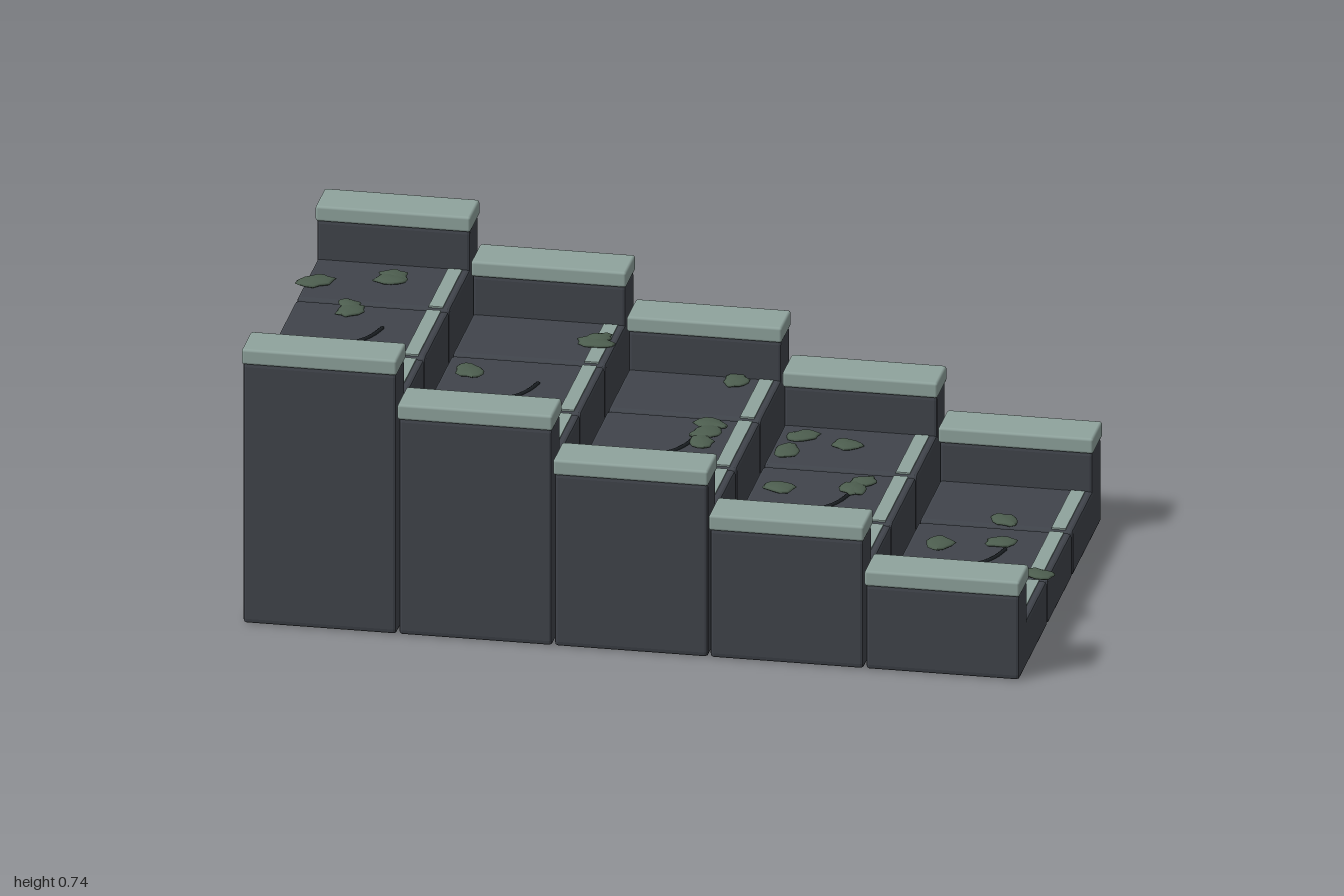
import * as THREE from 'three';
import { RoundedBoxGeometry } from 'three/addons/geometries/RoundedBoxGeometry.js';

const PITCH = 0.392, WIDTH = 0.386;
const TREADS = [0.59, 0.473, 0.356, 0.239, 0.121];
const WALL_RISE = 0.108, CAP_H = 0.041;

const material = (name, color) => {
  const m = new THREE.MeshStandardMaterial({ color });
  m.name = name;
  return m;
};

// small seeded random for the leaf outlines
function seeded(seed) {
  let s = seed * 7919 + 17;
  return () => (s = (s * 16807) % 2147483647) / 2147483647;
}

// bevelled stone: a (z, y) profile with eased corners, extruded along x
function stoneGeometry(points, sharp = -1) {
  const r = 0.013, b = 0.008;
  const pts = points.map(([z, y]) => new THREE.Vector2(-z, y));
  const shape = new THREE.Shape();
  pts.forEach((p, i) => {
    const prev = pts[(i + pts.length - 1) % pts.length], next = pts[(i + 1) % pts.length];
    const rr = i === sharp ? 0 : r;
    const a = p.clone().add(prev.clone().sub(p).setLength(rr || 1e-9));
    const c = p.clone().add(next.clone().sub(p).setLength(rr || 1e-9));
    if (i === sharp) return shape.lineTo(p.x, p.y);
    if (i === 0) shape.moveTo(a.x, a.y); else shape.lineTo(a.x, a.y);
    shape.quadraticCurveTo(p.x, p.y, c.x, c.y);
  });
  shape.closePath();
  const geo = new THREE.ExtrudeGeometry(shape, {
    depth: WIDTH - 2 * b, bevelEnabled: true, bevelSize: b, bevelThickness: b,
    bevelOffset: -b, bevelSegments: 2, curveSegments: 3
  });
  geo.translate(0, 0, -(WIDTH - 2 * b) / 2);
  geo.rotateY(Math.PI / 2);
  return geo;
}

// flat leafy clump with a jagged rim and a low domed top
function clumpGeometry(radius, seed) {
  const rnd = seeded(seed), n = 14;
  const rim = Array.from({ length: n }, () => radius * (0.78 + 0.32 * rnd()));
  const geo = new THREE.SphereGeometry(1, n, 6);
  const pos = geo.attributes.position;
  for (let i = 0; i < pos.count; i++) {
    const x = pos.getX(i), y = pos.getY(i), z = pos.getZ(i);
    const k = Math.round((Math.atan2(z, x) / (2 * Math.PI) + 1) * n) % n;
    pos.setXYZ(i, x * rim[k], y * 0.007, z * rim[k] * 0.75);
  }
  geo.rotateY(rnd() * Math.PI);
  geo.computeVertexNormals();
  return geo;
}

// clumps per step: [x, z, radius]
const CLUMPS = [
  [[-0.95, -0.27, 0.053], [-0.765, -0.335, 0.05], [-0.77, -0.31, 0.045], [-0.83, -0.1, 0.045],
    [-0.84, -0.135, 0.038], [-0.745, 0.272, 0.046]],
  [[-0.25, -0.29, 0.052], [-0.245, -0.315, 0.04], [-0.52, -0.045, 0.048], [-0.46, 0.145, 0.058],
    [-0.36, 0.24, 0.048], [-0.4, 0.25, 0.045]],
  [[0.085, -0.39, 0.045], [0.075, -0.1, 0.046], [0.078, -0.045, 0.048], [0.075, 0.01, 0.046],
    [-0.03, 0.155, 0.046], [-0.14, 0.29, 0.045], [-0.02, 0.365, 0.048]],
  [[0.26, -0.35, 0.046], [0.24, -0.245, 0.048], [0.38, -0.31, 0.045], [0.465, -0.085, 0.042],
    [0.45, -0.035, 0.046], [0.27, -0.005, 0.048], [0.225, 0.225, 0.04]],
  [[0.8, -0.19, 0.046], [0.82, -0.045, 0.044], [0.675, -0.005, 0.048], [0.95, 0.14, 0.043],
    [0.87, 0.185, 0.045], [0.625, 0.385, 0.044]]
];

export function createModel() {
  const stone = material('dark stone', 0x40444b);
  const trim = material('pale green trim', 0x8fa39d);
  const leaf = material('moss green', 0x4d5e4f);
  const vine = material('dark crack', 0x1f2428);
  const model = new THREE.Group();
  model.name = 'staircase';

  TREADS.forEach((h, i) => {
    const step = new THREE.Group();
    step.name = 'step' + (i + 1);
    step.position.x = (i - 2) * PITCH;
    model.add(step);
    const add = (name, geo, mat, x = 0, y = 0, z = 0) => {
      const mesh = new THREE.Mesh(geo, mat);
      mesh.name = name;
      mesh.position.set(x, y, z);
      step.add(mesh);
      return mesh;
    };

    // middle block
    add('middleBlock', stoneGeometry([[-0.155, 0], [0.155, 0], [0.155, h], [-0.155, h]]), stone);
    add('middleNosing', new THREE.BoxGeometry(0.036, 0.006, 0.295), trim, 0.156, h, 0);

    // side blocks with their parapet walls and caps
    for (const s of [1, -1]) {
      const side = s > 0 ? 'front' : 'back', top = h + WALL_RISE;
      add(side + 'Block', stoneGeometry([
        [s * 0.163, 0], [s * 0.529, 0], [s * 0.529, top], [s * 0.424, top], [s * 0.424, h], [s * 0.163, h]
      ], 4), stone);
      add(side + 'Cap', new RoundedBoxGeometry(0.391, CAP_H, 0.122, 2, 0.007), trim,
        0, top - 0.004 + CAP_H / 2, s * 0.476);
      add(side + 'Nosing', new THREE.BoxGeometry(0.036, 0.006, 0.25), trim, 0.156, h, s * 0.295);
    }

    // curved crack on the middle tread
    const path = new THREE.CatmullRomCurve3([
      [-0.1, 0.14], [-0.045, 0.122], [0.01, 0.085], [0.038, 0.04], [0.053, -0.012]
    ].map(([x, z]) => new THREE.Vector3(x, h + 0.002, z)));
    add('crack', new THREE.TubeGeometry(path, 16, 0.005, 6), vine);

    // leafy clumps lying on the tread
    CLUMPS[i].forEach(([x, z, r], k) =>
      add('mossClump', clumpGeometry(r, i * 10 + k + 1), leaf,
        x - step.position.x, h + 0.006 + (k % 3) * 0.001, z));
  });
  return model;
}
